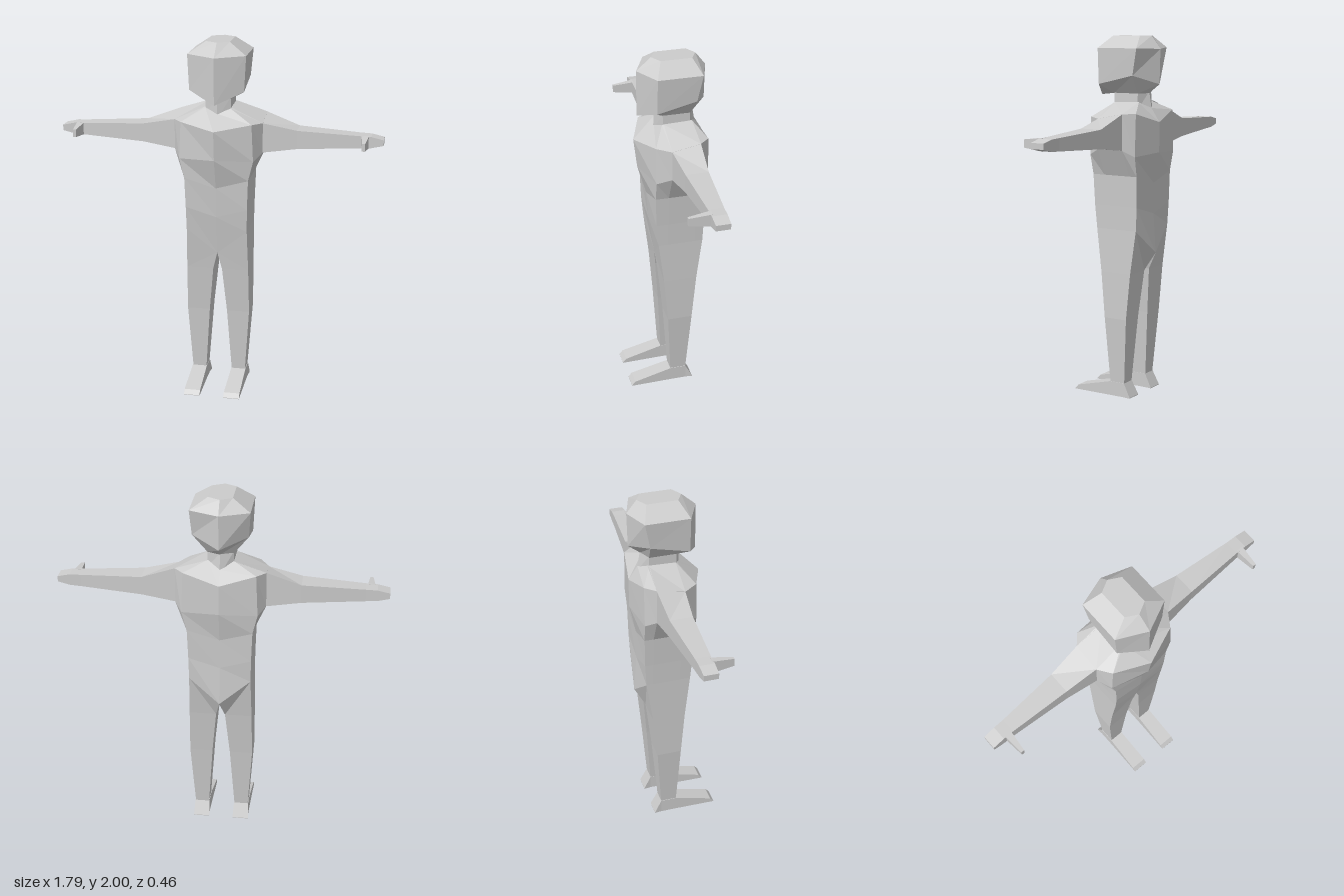
import * as THREE from 'three';

// Skin a closed solid over rings of equal point count, with fan caps
function loft(rings) {
  const tris = [];
  const n = rings[0].length;
  for (let r = 0; r < rings.length - 1; r++) {
    for (let i = 0; i < n; i++) {
      const j = (i + 1) % n;
      const [a, b, c, d] = [rings[r][i], rings[r][j], rings[r + 1][j], rings[r + 1][i]];
      tris.push([a, b, c], [a, c, d]);
    }
  }
  const cap = (ring, flip) => {
    const mid = [0, 1, 2].map(k => ring.reduce((s, p) => s + p[k], 0) / n);
    ring.forEach((p, i) => {
      const q = ring[(i + 1) % n];
      tris.push(flip ? [mid, q, p] : [mid, p, q]);
    });
  };
  cap(rings[0], true);
  cap(rings[rings.length - 1], false);
  // Turn the faces outward whichever way the rings run
  const V = p => new THREE.Vector3(...p);
  const volume = tris.reduce((s, [a, b, c]) => s + V(a).dot(V(b).cross(V(c))), 0);
  if (volume < 0) tris.forEach(t => t.reverse());
  const geometry = new THREE.BufferGeometry();
  geometry.setAttribute('position', new THREE.Float32BufferAttribute(tris.flat(2), 3));
  geometry.computeVertexNormals();
  return geometry;
}

// Complete a ring from its left half: front centre, side points, back centre
const full = half => [...half, ...half.slice(1, -1).reverse().map(([x, y, z]) => [-x, y, z])];

// Six-sided ring: front centre, front corner, back corner, back centre
const hex = (front, x, frontSide, backSide, back) => full([
  [0, ...front], [x, ...frontSide], [x, ...backSide], [0, ...back]]);

// Eight-point-plus torso ring with flat flanks where the arms attach
const trunk = (yc, zf, zb, xs, ys, zs, zt, xa, ya, yb) => full([
  [0, yc, zf], [xs, ys, zs], [xa, ya, 0.015], [xa, yb, -0.14], [xs, yb === ya ? ys : yb, zt], [0, yc, zb]]);

// Rectangular rings across the x axis and the y axis
const ringX = (x, y0, y1, z0, z1) => [[x, y0, z0], [x, y1, z0], [x, y1, z1], [x, y0, z1]];
const ringY = (y, x0, x1, z0, z1) => [[x0, y, z0], [x1, y, z0], [x1, y, z1], [x0, y, z1]];
const ringZ = (z, x0, x1, y0, y1) => [[x0, y0, z], [x1, y0, z], [x1, y1, z], [x0, y1, z]];

export function createModel() {
  const model = new THREE.Group();
  model.name = 'figure';
  const grey = new THREE.MeshStandardMaterial({ color: 0xcccccc, flatShading: true });
  grey.name = 'plain grey';

  const add = (name, rings, parent = model) => {
    const mesh = new THREE.Mesh(loft(rings), grey);
    mesh.name = name;
    parent.add(mesh);
  };

  // Head, with a chin in front and a raised jaw line behind
  add('head', [
    hex([1.69, 0.05], 0.07, [1.69, 0.02], [1.69, -0.13], [1.69, -0.16]),
    hex([1.675, 0.145], 0.15, [1.74, 0.07], [1.79, -0.145], [1.74, -0.225]),
    hex([1.93, 0.145], 0.16, [1.935, 0.07], [1.935, -0.175], [1.93, -0.23]),
    hex([2, 0.065], 0.065, [2, 0.03], [2, -0.14], [2, -0.175]),
  ]);

  // Neck
  add('neck', [
    hex([1.58, 0.055], 0.072, [1.6, 0.02], [1.6, -0.13], [1.58, -0.18]),
    hex([1.7, 0.05], 0.07, [1.7, 0.02], [1.7, -0.13], [1.7, -0.16]),
  ]);

  // Torso from collar to crotch
  add('torso', [
    trunk(1.61, 0.05, -0.175, 0.07, 1.635, 0.025, -0.13, 0.073, 1.64, 1.645),
    trunk(1.535, 0.165, -0.225, 0.195, 1.565, 0.09, -0.195, 0.245, 1.56, 1.59),
    trunk(1.37, 0.145, -0.225, 0.205, 1.36, 0.09, -0.195, 0.245, 1.395, 1.395),
    trunk(1.2, 0.095, -0.19, 0.178, 1.25, 0.088, -0.19, 0.179, 1.25, 1.25),
    trunk(1.03, 0.082, -0.19, 0.172, 1.08, 0.082, -0.187, 0.173, 1.08, 1.08),
    trunk(0.81, 0.05, -0.205, 0.17, 0.95, 0.07, -0.18, 0.171, 0.95, 0.95),
  ]);

  for (const [side, s] of [['left', 1], ['right', -1]]) {
    const limb = (name, rings, parent) =>
      add(name, rings.map(r => r.map(([x, y, z]) => [s * x, y, z])), parent);

    // Arm, held straight out and ending in a mitten hand
    const arm = new THREE.Group();
    arm.name = side + 'Arm';
    model.add(arm);
    limb(side + 'Sleeve', [
      [[0.243, 1.395, 0.015], [0.243, 1.56, 0.015], [0.243, 1.59, -0.14], [0.243, 1.395, -0.14]],
      ringX(0.43, 1.42, 1.522, -0.003, -0.127),
      ringX(0.77, 1.438, 1.505, -0.02, -0.102),
    ], arm);
    limb(side + 'Hand', [
      ringX(0.77, 1.438, 1.505, -0.02, -0.102),
      ringX(0.83, 1.441, 1.503, -0.02, -0.1),
      ringX(0.897, 1.457, 1.488, -0.02, -0.098),
    ], arm);
    limb(side + 'Thumb', [
      ringZ(-0.03, 0.777, 0.817, 1.437, 1.505),
      ringZ(0.09, 0.788, 0.806, 1.45, 1.492),
    ], arm);

    // Leg, tapering from the slanted hip to the ankle
    const leg = new THREE.Group();
    leg.name = side + 'Leg';
    model.add(leg);
    limb(side + 'Trouser', [
      [[0, 0.81, 0.05], [0.17, 0.95, 0.07], [0.17, 0.95, -0.18], [0, 0.81, -0.205]],
      ringY(0.71, 0.025, 0.175, 0.04, -0.147),
      ringY(0.45, 0.05, 0.178, 0.017, -0.122),
      ringY(0.08, 0.075, 0.153, -0.004, -0.095),
    ], leg);

    // Wedge-shaped foot
    limb(side + 'Foot', [
      ringZ(-0.135, 0.068, 0.16, 0, 0.003),
      ringZ(-0.095, 0.073, 0.156, 0, 0.08),
      ringZ(-0.004, 0.073, 0.156, 0, 0.08),
      ringZ(0.21, 0.069, 0.159, 0, 0.026),
      ringZ(0.23, 0.069, 0.159, 0, 0.003),
    ], leg);
  }
  return model;
}
